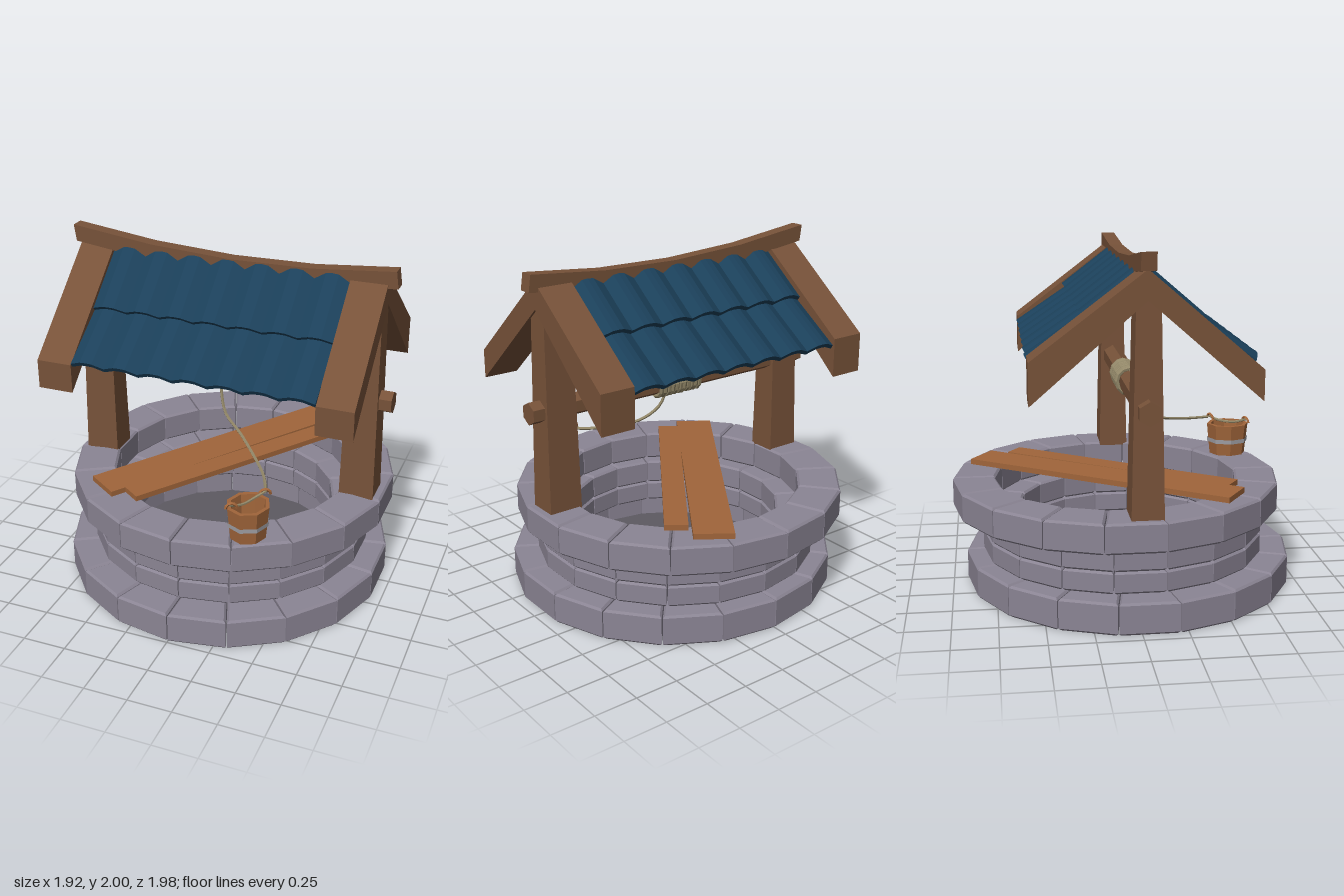
import * as THREE from 'three';

const V = (x, y, z) => new THREE.Vector3(x, y, z);
const paint = (color) => new THREE.MeshStandardMaterial({ color, flatShading: true, side: THREE.DoubleSide });

export function createModel() {
  const model = new THREE.Group();
  const stone = paint(0x8b8594), floorStone = paint(0x5d5a62), wood = paint(0x775239);
  const plankWood = paint(0xa0653a), tileBlue = paint(0x1b405a), ropeTan = paint(0x928768), iron = paint(0xa0a0a6);

  const group = (name) => {
    const g = new THREE.Group();
    g.name = name;
    model.add(g);
    return g;
  };
  const add = (parent, name, geometry, material, x = 0, y = 0, z = 0) => {
    const mesh = new THREE.Mesh(geometry, material);
    mesh.name = name;
    mesh.position.set(x, y, z);
    parent.add(mesh);
    return mesh;
  };
  const shapeOf = (points) => new THREE.Shape(points.map(([x, y]) => new THREE.Vector2(x, y)));

  // Wall: four rings of bevelled wedge stones
  const COUNT = 18, BEVEL = 0.012;
  const stoneRing = (name, y0, y1, rIn, rOut, z) => {
    const ring = group(name);
    const half = Math.PI / COUNT, gap = 0.003;
    const corner = (r, s) => [r * Math.cos(half), s * (r * Math.sin(half) - gap)];
    const geometry = new THREE.ExtrudeGeometry(
      shapeOf([corner(rIn, -1), corner(rOut, -1), corner(rOut, 1), corner(rIn, 1)]),
      { depth: y1 - y0 - 2 * BEVEL, bevelEnabled: true, bevelThickness: BEVEL, bevelSize: BEVEL, bevelOffset: -BEVEL, bevelSegments: 1 }
    );
    geometry.translate(0, 0, BEVEL).rotateX(-Math.PI / 2);
    for (let i = 0; i < COUNT; i++) {
      add(ring, 'stone', geometry, stone, 0, y0, z).rotation.y = i * 2 * half;
    }
  };
  stoneRing('baseRing', 0, 0.18, 0.69, 0.955, 0.038);
  stoneRing('lowerWallRing', 0.18, 0.305, 0.61, 0.825, 0.005);
  stoneRing('upperWallRing', 0.305, 0.45, 0.61, 0.825, 0.005);
  stoneRing('rimRing', 0.45, 0.62, 0.71, 0.955, -0.035);
  add(model, 'wellFloor', new THREE.CylinderGeometry(0.7, 0.7, 0.02, 36), floorStone, 0, 0.02, 0.038);

  // Tapered posts
  for (const x of [-0.805, 0.797]) {
    const geometry = new THREE.BoxGeometry(0.2, 1.22, 0.175);
    const p = geometry.attributes.position;
    for (let i = 0; i < p.count; i++) {
      if (p.getY(i) > 0) p.setXYZ(i, p.getX(i) * 0.83, p.getY(i), p.getZ(i) * 0.72);
    }
    add(model, 'post', geometry, wood, x, 1.21, 0.03);
  }

  // Gable rafters, drawn as (z, y) outlines
  const gable = [[0.025, 1.915], [0.625, 1.4], [0.625, 1.235], [0.025, 1.76], [-0.575, 1.235], [-0.575, 1.46]];
  for (const x of [-0.905, 0.69]) {
    const geometry = new THREE.ExtrudeGeometry(shapeOf(gable.map(([z, y]) => [-z, y])), { depth: 0.205, bevelEnabled: false });
    add(model, 'rafters', geometry.rotateY(Math.PI / 2), wood, x);
  }

  // Sagging ridge beam
  const ridge = new THREE.BoxGeometry(1.87, 0.094, 0.08, 4);
  const rp = ridge.attributes.position;
  for (let i = 0; i < rp.count; i++) {
    const u = rp.getX(i) / 0.935;
    rp.setY(i, rp.getY(i) + 0.068 * u * u - 0.022 * u);
    rp.setX(i, rp.getX(i) - (rp.getY(i) - 0.05) * 0.15 * u * u);
  }
  add(model, 'ridgeBeam', ridge, wood, 0.008, 1.866, 0.024);

  // Roof tiles: each row runs from an upper to a lower (z, y) point along the tile crest
  const COLUMNS = 7, W = 0.198, RISE = 0.032, THICK = 0.028;
  const arch = [[-W / 2, -RISE], [-W * 0.18, -0.003], [0, 0], [W * 0.18, -0.003], [W / 2, -RISE]];
  const tileShape = shapeOf([...arch, ...arch.map(([x, y]) => [x, y - THICK]).reverse()]);
  const tileRow = (name, side, [z0, y0], [z1, y1]) => {
    const row = group(name);
    const down = V(0, y1 - y0, z1 - z0), across = V(side, 0, 0);
    const geometry = new THREE.ExtrudeGeometry(tileShape, { depth: down.length(), bevelEnabled: false });
    down.normalize();
    geometry.applyMatrix4(new THREE.Matrix4().makeBasis(across, down.clone().cross(across), down));
    for (let i = 0; i < COLUMNS; i++) {
      add(row, 'tile', geometry, tileBlue, (i - 3) * W - 0.002, y0, z0);
    }
  };
  tileRow('frontUpperTiles', 1, [0.06, 1.912], [0.36, 1.655]);
  tileRow('frontLowerTiles', 1, [0.29, 1.675], [0.65, 1.44]);
  tileRow('backUpperTiles', -1, [-0.005, 1.9], [-0.3, 1.675]);
  tileRow('backLowerTiles', -1, [-0.22, 1.695], [-0.585, 1.45]);

  // Hexagonal axle with the wound rope and its loose end
  add(model, 'axle', new THREE.CylinderGeometry(0.064, 0.064, 1.925, 6).rotateZ(Math.PI / 2).rotateX(Math.PI / 2), wood, -0.003, 1.197, 0.03);
  const TURNS = 11, coil = [];
  for (let i = 0; i <= TURNS * 10; i++) {
    const a = (i / 10) * 2 * Math.PI;
    coil.push(V(-0.167 + 0.3 * i / (TURNS * 10), 1.199 + 0.073 * Math.cos(a), 0.03 + 0.073 * Math.sin(a)));
  }
  const tube = (name, points, segments, radius) =>
    add(model, name, new THREE.TubeGeometry(new THREE.CatmullRomCurve3(points), segments, radius, 6), ropeTan);
  tube('ropeCoil', coil, TURNS * 12, 0.0135);
  tube('looseRope', [
    V(-0.03, 1.22, 0.1), V(-0.02, 1.12, 0.115), V(0.015, 1.01, 0.14), V(0.12, 0.93, 0.19),
    V(0.25, 0.878, 0.32), V(0.36, 0.848, 0.46), V(0.425, 0.838, 0.6)
  ], 24, 0.009);

  // Bucket with an iron hoop, two lugs and a rope handle
  const bucket = group('bucket');
  bucket.position.set(0.367, 0.62, 0.715);
  const profile = [[0, 0], [0.11, 0], [0.13, 0.19], [0.106, 0.19], [0.092, 0.03], [0, 0.03]];
  const pail = new THREE.LatheGeometry(profile.map(([x, y]) => new THREE.Vector2(x, y)), 8);
  add(bucket, 'pail', pail, plankWood).scale.x = 0.92;
  const hoop = new THREE.CylinderGeometry(0.128, 0.126, 0.026, 8, 1, true);
  add(bucket, 'hoop', hoop, iron, 0, 0.09, 0).scale.x = 0.92;
  for (const s of [-1, 1]) {
    const lug = add(bucket, 'lug', new THREE.TorusGeometry(0.03, 0.009, 4, 6, Math.PI), plankWood, s * 0.058, 0.205, -s * 0.1);
    lug.rotation.y = 0.5;
  }
  tube('handleRope', [V(0.43, 0.845, 0.61), V(0.39, 0.825, 0.66), V(0.345, 0.82, 0.75), V(0.305, 0.845, 0.82)], 10, 0.008);

  // Two planks lying across the rim, given by the (x, z) centres of their ends
  const plank = (name, [x0, z0], [x1, z1], width) => {
    const length = Math.hypot(x1 - x0, z1 - z0);
    const mesh = add(model, name, new THREE.BoxGeometry(width, 0.032, length), plankWood, (x0 + x1) / 2, 0.636, (z0 + z1) / 2);
    mesh.rotation.y = Math.atan2(x1 - x0, z1 - z0);
  };
  plank('widePlank', [0.37, -0.825], [-0.58, 0.57], 0.22);
  plank('narrowPlank', [0.465, -0.622], [-0.39, 0.59], 0.13);

  return model;
}
